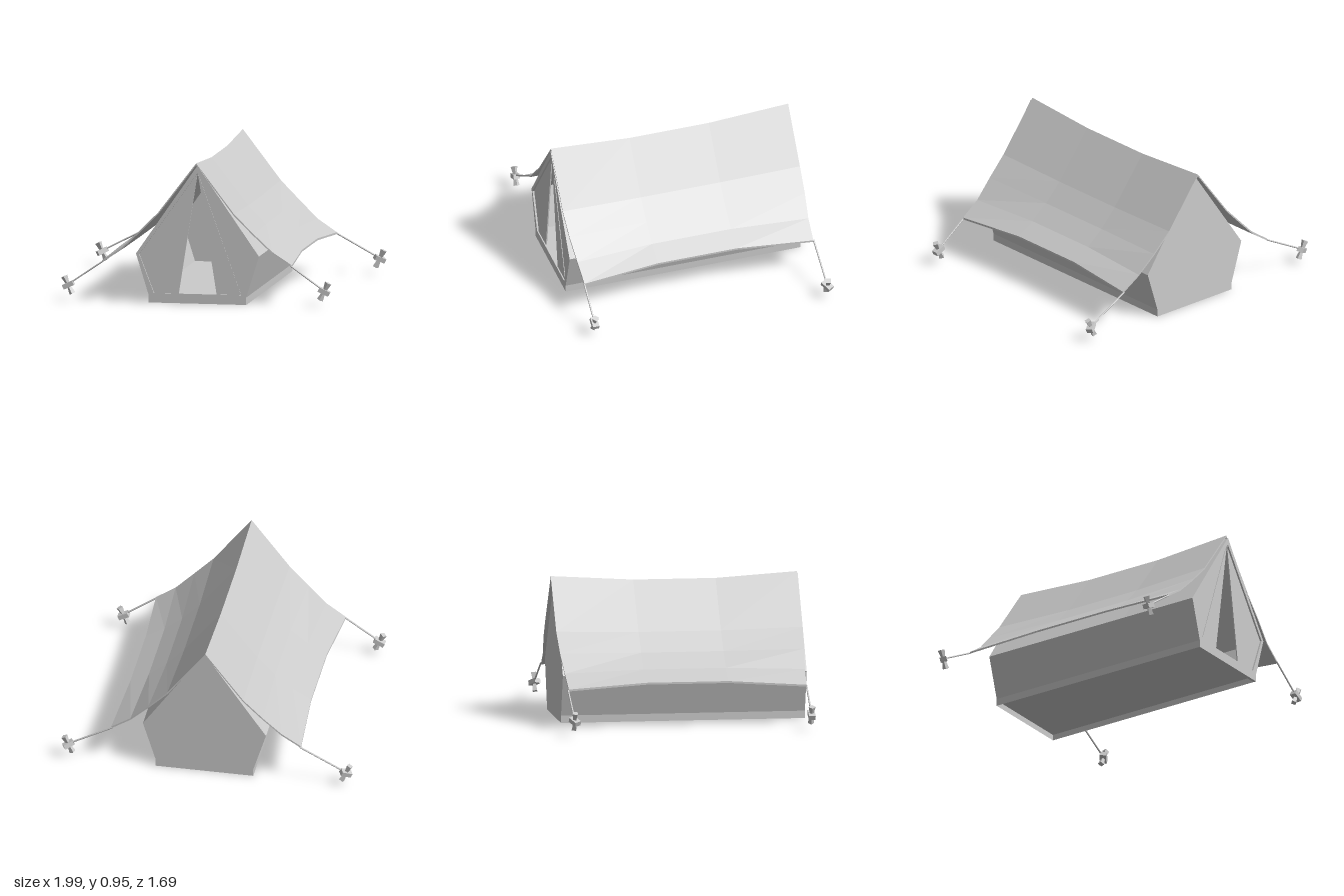
import * as THREE from 'three';

const grey = new THREE.MeshStandardMaterial({ color: 0xcccccc, flatShading: true, side: THREE.DoubleSide });

function add(parent, name, geometry) {
  const mesh = new THREE.Mesh(geometry, grey);
  mesh.name = name;
  parent.add(mesh);
  return mesh;
}

// Skin a list of cross-sections (arrays of [x, y, z]) into a surface.
function skin(rows, capped = false) {
  const n = rows[0].length, index = [];
  for (let r = 0; r < rows.length - 1; r++) {
    for (let i = 0; i < n - 1; i++) {
      const a = r * n + i, b = a + n;
      index.push(a, b, a + 1, a + 1, b, b + 1);
    }
  }
  // Close the ends of a folded loop: point i pairs with point n - 2 - i.
  if (capped) {
    const half = (n - 1) / 2;
    for (const start of [0, (rows.length - 1) * n]) {
      for (let i = 0; i < half - 1; i++) {
        const a = start + i, b = start + n - 2 - i;
        const quad = [a, a + 1, b, a + 1, b - 1, b];
        index.push(...(start ? quad.reverse() : quad));
      }
    }
  }
  const geometry = new THREE.BufferGeometry();
  geometry.setAttribute('position', new THREE.Float32BufferAttribute(rows.flat(2), 3));
  geometry.setIndex(index);
  geometry.computeVertexNormals();
  return geometry;
}

// Five-cornered tent outline, with a vertical skirt at the ground.
const bodyOutline = (apex) => [[0.333, 0], [0.333, 0.05], [0.42, 0.33], [0, apex],
  [-0.42, 0.33], [-0.333, 0.05], [-0.333, 0]];
const toShape = (points) => new THREE.Shape(points.map(([x, y]) => new THREE.Vector2(x, y)));

function createBody() {
  const body = new THREE.Group();
  body.name = 'innerTent';
  body.position.x = 0.023;

  const stations = [[-0.815, 0.935], [-0.28, 0.895], [0.28, 0.895], [0.82, 0.935]];
  add(body, 'walls', skin(stations.map(([z, apex]) => bodyOutline(apex).map(([x, y]) => [x, y, z]))));
  add(body, 'backWall', new THREE.ShapeGeometry(toShape(bodyOutline(0.935)))).position.z = -0.815;
  add(body, 'floor', new THREE.BoxGeometry(0.666, 0.01, 1.635)).position.set(0, 0.045, 0.003);

  // Front rim around the doorway
  const rim = toShape(bodyOutline(0.935));
  rim.holes.push(toShape([[0, 0.885], [0.398, 0.325], [0.298, 0.065], [-0.298, 0.065], [-0.398, 0.325]]));
  add(body, 'doorRim', new THREE.ExtrudeGeometry(rim, { depth: 0.02, bevelEnabled: false })).position.z = 0.818;

  // Door panels either side of the central opening
  for (const s of [1, -1]) {
    const panel = toShape([[0, 0.89], [0.4 * s, 0.325], [0.298 * s, 0.06]]);
    add(body, 'sidePanel', new THREE.ShapeGeometry(panel)).position.z = 0.826;
    const flap = toShape([[0, 0.89], [0.298 * s, 0.06], [0.13 * s, 0.06]]);
    add(body, 'doorFlap', new THREE.ExtrudeGeometry(flap, { depth: 0.008, bevelEnabled: false })).position.z = 0.822;
  }
  return body;
}

// Sagging outer sheet, with thickness
function createFly() {
  const endProfile = [[0, 0.95], [0.26, 0.61], [0.39, 0.48], [0.515, 0.36], [0.648, 0.272]];
  const midProfile = [[0, 0.915], [0.25, 0.595], [0.37, 0.472], [0.49, 0.375], [0.617, 0.303]];
  const endDepth = [0.832, 0.832, 0.825, 0.81, 0.803];
  const thickness = 0.013;
  const rows = [-1, -0.34, 0.34, 1].map((t) => {
    const end = Math.abs(t) === 1;
    const half = (end ? endProfile : midProfile).map(([x, y], i) =>
      [x, y, end ? t * endDepth[i] - (t < 0 ? 0.006 : 0) : t * 0.82]);
    const top = [...half.slice(1).reverse(), ...half.map(([x, y, z]) => [-x, y, z])];
    const under = top.map(([x, y, z]) => [x, y - thickness, z]).reverse();
    return [...top, ...under, top[0]];
  });
  const fly = new THREE.Group();
  fly.name = 'outerSheet';
  fly.position.x = 0.013;
  add(fly, 'flySheet', skin(rows, true));
  return fly;
}

// Stake with a waist and a crossbar
function createPeg() {
  const peg = new THREE.Group();
  peg.name = 'peg';
  add(peg, 'stakeHead', new THREE.CylinderGeometry(0.024, 0.011, 0.065, 4)).position.y = 0.032;
  add(peg, 'stakeFoot', new THREE.CylinderGeometry(0.011, 0.022, 0.065, 4)).position.y = -0.032;
  add(peg, 'crossbar', new THREE.BoxGeometry(0.075, 0.032, 0.045));
  return peg;
}

function createRope(from, to) {
  return new THREE.TubeGeometry(new THREE.LineCurve3(new THREE.Vector3(...from), new THREE.Vector3(...to)), 1, 0.006, 6);
}

export function createModel() {
  const tent = new THREE.Group();
  tent.name = 'tent';
  tent.add(createBody(), createFly());

  // Guy ropes and pegs at the four corners
  for (const s of [1, -1]) {
    for (const [z, reach] of [[0.803, 0.873], [-0.813, 0.95]]) {
      const x = 0.008 + s * reach;
      const pegX = Math.max(-0.955, Math.min(0.952, x));
      add(tent, 'guyRope', createRope([0.013 + s * 0.64, 0.268, z], [pegX, 0.105, z]));
      const peg = createPeg();
      peg.position.set(pegX, 0.1, z);
      peg.rotation.set(0, z < 0 ? 0.5 : 0, -s * 0.45, 'ZYX');
      tent.add(peg);
    }
  }
  return tent;
}
